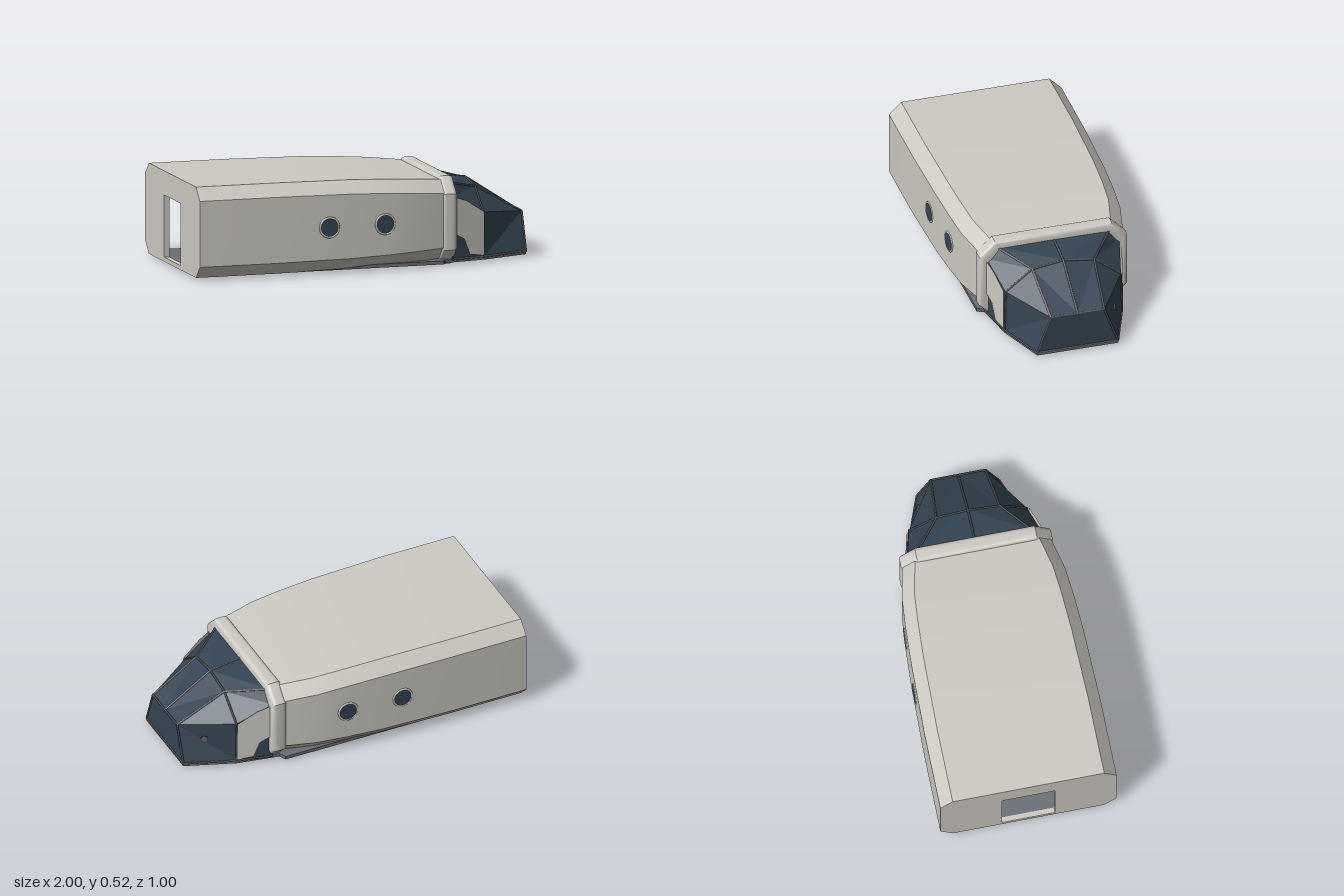
import * as THREE from 'three';
import { toCreasedNormals } from 'three/addons/utils/BufferGeometryUtils.js';

const mat = (name, color, extra = {}) => {
  const m = new THREE.MeshStandardMaterial({ color, ...extra });
  m.name = name;
  return m;
};

export function createModel() {
  const model = new THREE.Group();
  model.name = 'cabinModule';
  const shell = mat('warm grey shell', 0xcdcac2);
  const panelMat = mat('warm grey panel', 0xcdcac2, { side: THREE.DoubleSide });
  const glass = mat('dark blue glass', 0x354554, { side: THREE.DoubleSide });
  const frame = mat('dark frame', 0x55565a);
  const floorMat = mat('slate floor', 0x6a6d74);

  const add = (name, geo, material, parent = model) => {
    const m = new THREE.Mesh(geo, material);
    m.name = name;
    parent.add(m);
    return m;
  };

  // Chamfered rectangle as [z, y] points: half width, bottom, top, chamfer
  const octagon = (w, b, t, c) => [
    [w - c, b], [w, b + c], [w, t - c], [w - c, t],
    [c - w, t], [-w, t - c], [-w, b + c], [c - w, b],
  ];
  const shapeOf = pts => new THREE.Shape(pts.map(p => new THREE.Vector2(...p)));

  // Main hull: lofted sections [x, half width, bottom, top], open underneath
  const stations = [
    [-1, 0.5, 0.01, 0.522], [-0.55, 0.5, 0.01, 0.522], [-0.12, 0.49, 0.013, 0.517],
    [0.1, 0.478, 0.02, 0.508], [0.27, 0.463, 0.027, 0.497], [0.47, 0.418, 0.035, 0.48],
  ];
  const rings = stations.map(([x, w, b, t]) =>
    octagon(w, b, t, 0.07).map(([z, y]) => [x, y, z]));
  const tri = [];
  for (let i = 0; i < rings.length - 1; i++) {
    for (let j = 0; j < 7; j++) {
      const a = rings[i][j], b = rings[i + 1][j], c = rings[i + 1][j + 1], d = rings[i][j + 1];
      tri.push(...a, ...b, ...c, ...a, ...c, ...d);
    }
  }
  const hullGeo = new THREE.BufferGeometry();
  hullGeo.setAttribute('position', new THREE.Float32BufferAttribute(tri, 3));
  add('hull', toCreasedNormals(hullGeo, 0.4), shell);

  // Rear wall with doorway
  const wall = shapeOf(octagon(0.5, 0.01, 0.522, 0.07));
  wall.holes.push(new THREE.Path([[-0.15, 0.035], [-0.15, 0.385], [0.15, 0.385], [0.15, 0.035]]
    .map(p => new THREE.Vector2(...p))));
  const wallGeo = new THREE.ExtrudeGeometry(wall, { depth: 0.03, bevelEnabled: false });
  add('rearWall', wallGeo.rotateY(Math.PI / 2).translate(-1, 0, 0), shell);

  // Rounded collar between hull and canopy
  const collar = shapeOf(octagon(0.405, 0.025, 0.472, 0.075));
  collar.holes.push(new THREE.Path(octagon(0.375, 0.055, 0.442, 0.062)
    .map(p => new THREE.Vector2(...p))));
  const collarGeo = new THREE.ExtrudeGeometry(collar, {
    depth: 0.04, bevelSize: 0.025, bevelThickness: 0.025, bevelSegments: 5,
  });
  add('collar', toCreasedNormals(collarGeo.rotateY(Math.PI / 2).translate(0.465, 0, 0), 0.6), shell);

  // Floor slab from rear wall to nose
  const half = [[-0.985, 0.43], [0.45, 0.425], [0.47, 0.385], [0.71, 0.34], [0.99, 0.235]];
  const plan = shapeOf([...half, ...half.map(([x, z]) => [x, -z]).reverse()]);
  const floorGeo = new THREE.ExtrudeGeometry(plan, { depth: 0.02, bevelEnabled: false });
  add('floor', floorGeo.rotateX(-Math.PI / 2).translate(0, 0.012, 0), floorMat);

  // Portholes, turned to follow the hull sides
  const widthAt = x => {
    const i = stations.findIndex(s => s[0] > x);
    const [p, q] = [stations[i - 1], stations[i]];
    const slope = (q[1] - p[1]) / (q[0] - p[0]);
    return [p[1] + slope * (x - p[0]), Math.atan(-slope)];
  };
  for (const side of [1, -1]) {
    for (const x of [-0.24, 0.09]) {
      const [w, tilt] = widthAt(x);
      const port = new THREE.Group();
      port.name = 'porthole';
      port.position.set(x, 0.265, side * w);
      port.rotation.y = side > 0 ? tilt : Math.PI - tilt;
      add('portholeGlass', new THREE.CylinderGeometry(0.052, 0.052, 0.008, 32).rotateX(Math.PI / 2), glass, port);
      add('portholeRim', new THREE.TorusGeometry(0.055, 0.006, 8, 32), shell, port);
      model.add(port);
    }
  }

  // Canopy corner points for one half
  const P = {
    base0: [0.51, 0.03, 0.385], mid0: [0.51, 0.385, 0.385], top0: [0.51, 0.455, 0.33], ridge0: [0.51, 0.458, 0],
    base1: [0.71, 0.03, 0.34], mid1: [0.71, 0.28, 0.335], top1: [0.71, 0.402, 0.18], ridge1: [0.71, 0.428, 0],
    base2: [0.99, 0.03, 0.235], top2: [0.99, 0.245, 0.155], ridge2: [0.99, 0.245, 0], foot: [0.99, 0.03, 0],
  };
  const panes = [
    ['base0', 'base1', 'mid1', 'mid0'], ['mid0', 'mid1', 'top1', 'top0'],
    ['top0', 'top1', 'ridge1', 'ridge0'], ['base1', 'base2', 'top2', 'mid1'],
    ['mid1', 'top2', 'top1'], ['top1', 'top2', 'ridge2', 'ridge1'],
    ['base2', 'foot', 'ridge2', 'top2'],
  ];
  const bars = [
    ['top0', 'top1'], ['top1', 'top2'], ['base1', 'mid1'], ['mid1', 'top1'], ['top1', 'ridge1'],
    ['base2', 'top2'], ['top2', 'ridge2'], ['base0', 'base1'], ['base1', 'base2'], ['base2', 'foot'],
    ['ridge0', 'ridge1'], ['ridge1', 'ridge2'],
  ];
  const paneTri = [];
  for (const pane of panes) {
    for (let k = 1; k < pane.length - 1; k++) {
      paneTri.push(...P[pane[0]], ...P[pane[k]], ...P[pane[k + 1]]);
    }
  }
  const paneGeo = new THREE.BufferGeometry();
  paneGeo.setAttribute('position', new THREE.Float32BufferAttribute(paneTri, 3));
  paneGeo.computeVertexNormals();

  // Pale side panel lying just outside the rear side pane
  const panelGeo = new THREE.ShapeGeometry(shapeOf([
    [0.53, 0.17], [0.585, 0.14], [0.62, 0.05], [0.708, 0.04], [0.708, 0.285], [0.6, 0.355], [0.53, 0.38],
  ]));
  const pos = panelGeo.attributes.position;
  for (let i = 0; i < pos.count; i++) pos.setZ(i, 0.391 - 0.25 * (pos.getX(i) - 0.53));
  panelGeo.computeVertexNormals();

  const up = new THREE.Vector3(0, 1, 0);
  for (const side of [1, -1]) {
    const canopy = new THREE.Group();
    canopy.name = side > 0 ? 'canopyFrontHalf' : 'canopyRearHalf';
    canopy.scale.z = side;
    add('canopyGlass', paneGeo, glass, canopy);
    add('canopySidePanel', panelGeo, panelMat, canopy);
    for (const [from, to] of bars) {
      const a = new THREE.Vector3(...P[from]), b = new THREE.Vector3(...P[to]);
      const dir = b.clone().sub(a);
      const bar = add('canopyBar', new THREE.CylinderGeometry(0.006, 0.006, dir.length(), 6), frame, canopy);
      bar.position.copy(a).add(b).multiplyScalar(0.5);
      bar.quaternion.setFromUnitVectors(up, dir.normalize());
    }
    model.add(canopy);
  }

  // Small hexagonal port on one side of the nose
  const port = add('nosePort', new THREE.CylinderGeometry(0.022, 0.022, 0.009, 6), frame);
  port.position.set(0.87, 0.17, -0.254);
  port.quaternion.setFromUnitVectors(up, new THREE.Vector3(0.37, 0.27, -0.89).normalize());

  return model;
}
